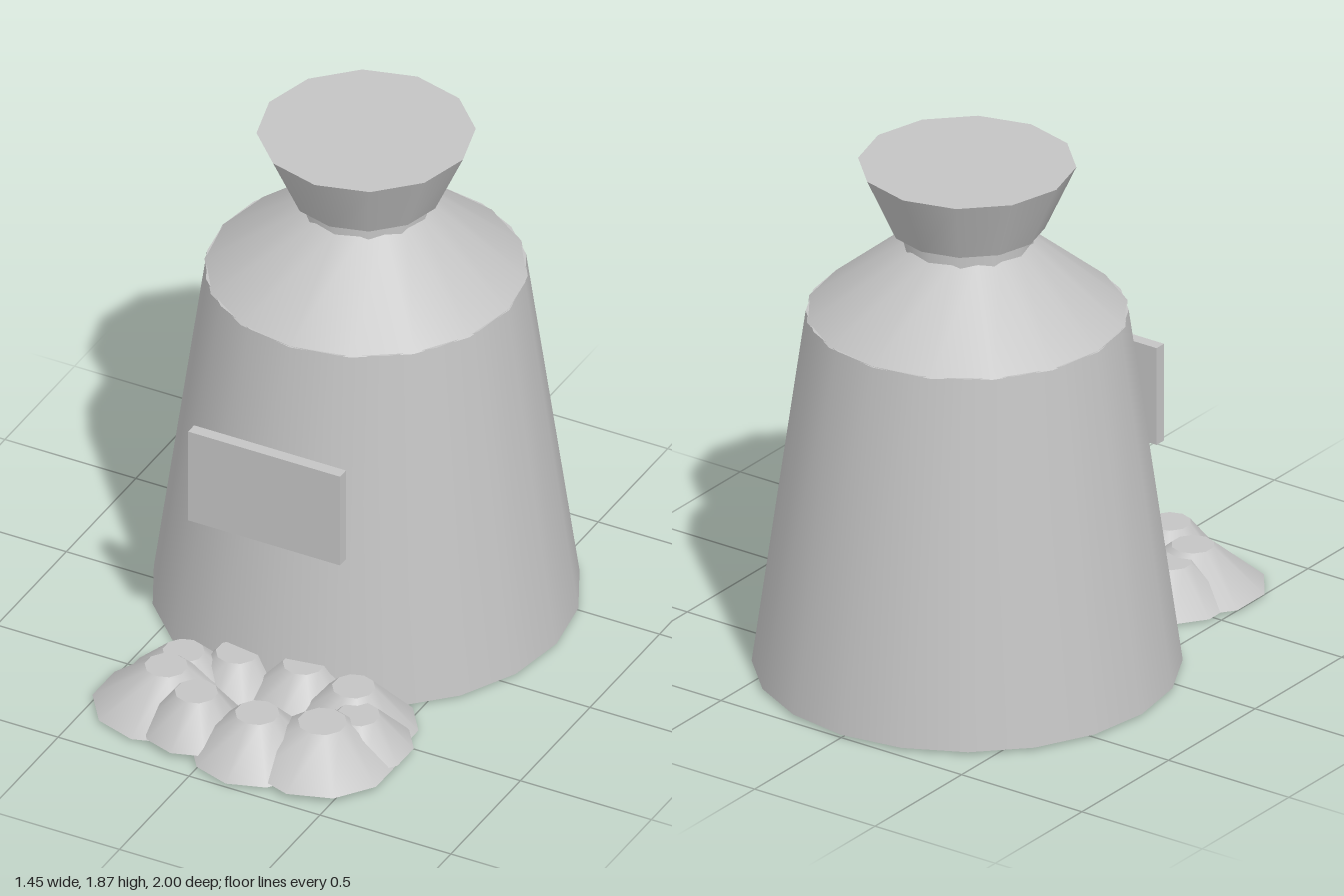
import * as THREE from 'three';

export function createModel() {
  const model = new THREE.Group();
  model.name = 'sackWithPile';
  const grey = new THREE.MeshStandardMaterial({ color: 0xc4c4c4 });
  grey.name = 'plain grey';

  // Upright tapered cylinder from y0 to y1
  function frustum(name, rTop, rBottom, y0, y1, sides, x, z, parent) {
    const mesh = new THREE.Mesh(new THREE.CylinderGeometry(rTop, rBottom, y1 - y0, sides), grey);
    mesh.name = name;
    mesh.position.set(x, (y0 + y1) / 2, z);
    parent.add(mesh);
  }

  // Sack: body, shoulder, tied neck and flared mouth
  const sack = new THREE.Group();
  sack.name = 'sack';
  sack.position.z = -0.273;
  model.add(sack);
  frustum('body', 0.545, 0.727, 0.01, 1.315, 20, 0, 0, sack);
  frustum('shoulder', 0.218, 0.548, 1.312, 1.585, 16, 0, 0, sack);
  frustum('neckTie', 0.225, 0.225, 1.55, 1.622, 12, 0, 0, sack);
  frustum('mouth', 0.37, 0.264, 1.635, 1.867, 12, 0, 0, sack);

  // Label plate standing in front of the sack
  const label = new THREE.Mesh(new THREE.BoxGeometry(0.58, 0.361, 0.043), grey);
  label.name = 'label';
  label.position.set(0, 0.808, 0.439);
  model.add(label);

  // Ring of small heaps: x, z, base radius, top radius, base y, top y
  const pile = new THREE.Group();
  pile.name = 'pile';
  model.add(pile);
  const heaps = [
    [-0.27, 0.53, 0.216, 0.072, 0.01, 0.145],
    [-0.27, 0.655, 0.253, 0.074, 0.01, 0.16],
    [-0.105, 0.75, 0.186, 0.074, 0.022, 0.163],
    [0.137, 0.767, 0.228, 0.076, 0.01, 0.163],
    [0.354, 0.707, 0.26, 0.084, 0.02, 0.16],
    [0.43, 0.592, 0.19, 0.074, 0.028, 0.145],
    [0.35, 0.475, 0.222, 0.074, 0.01, 0.163],
    [0.13, 0.42, 0.21, 0.072, 0.01, 0.155],
    [-0.11, 0.445, 0.187, 0.074, 0, 0.14],
  ];
  for (const [x, z, r, rTop, y0, y1] of heaps) frustum('heap', rTop, r, y0, y1, 10, x, z, pile);

  return model;
}
